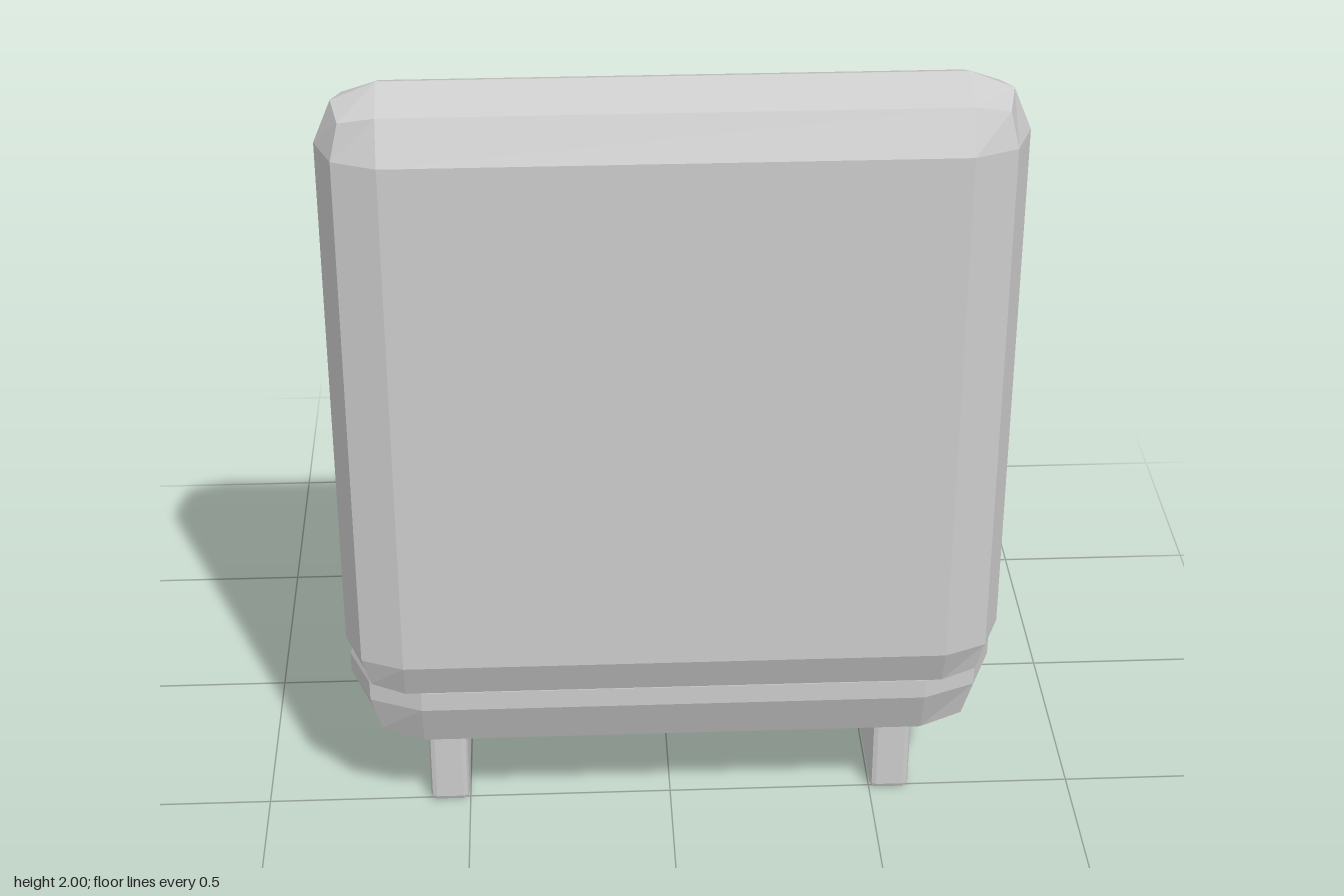
import * as THREE from 'three';
import { RoundedBoxGeometry } from 'three/addons/geometries/RoundedBoxGeometry.js';

const grey = new THREE.MeshStandardMaterial({ color: 0xcccccc, flatShading: true });

// Box given by its min and max corners, each edge rounded with two flat facets
function cushion(name, min, max, radius) {
  const size = max.map((v, i) => v - min[i]);
  const mesh = new THREE.Mesh(new RoundedBoxGeometry(...size, 1, radius), grey);
  mesh.position.set(...max.map((v, i) => (v + min[i]) / 2));
  mesh.name = name;
  return mesh;
}

export function createModel() {
  const chair = new THREE.Group();
  chair.name = 'chair';

  // Thick seat and upright back cushion
  chair.add(cushion('seat', [-0.775, 0.235, -0.747], [0.775, 0.635, 0.693], 0.175));
  chair.add(cushion('backrest', [-0.775, 0.43, 0.465], [0.775, 2, 0.747], 0.14));

  // Two plank runners running front to back under the seat
  for (const [name, x] of [['leftRunner', 0.55], ['rightRunner', -0.55]]) {
    chair.add(cushion(name, [x - 0.048, 0, -0.572], [x + 0.048, 0.25, 0.517], 0.015));
  }
  return chair;
}
